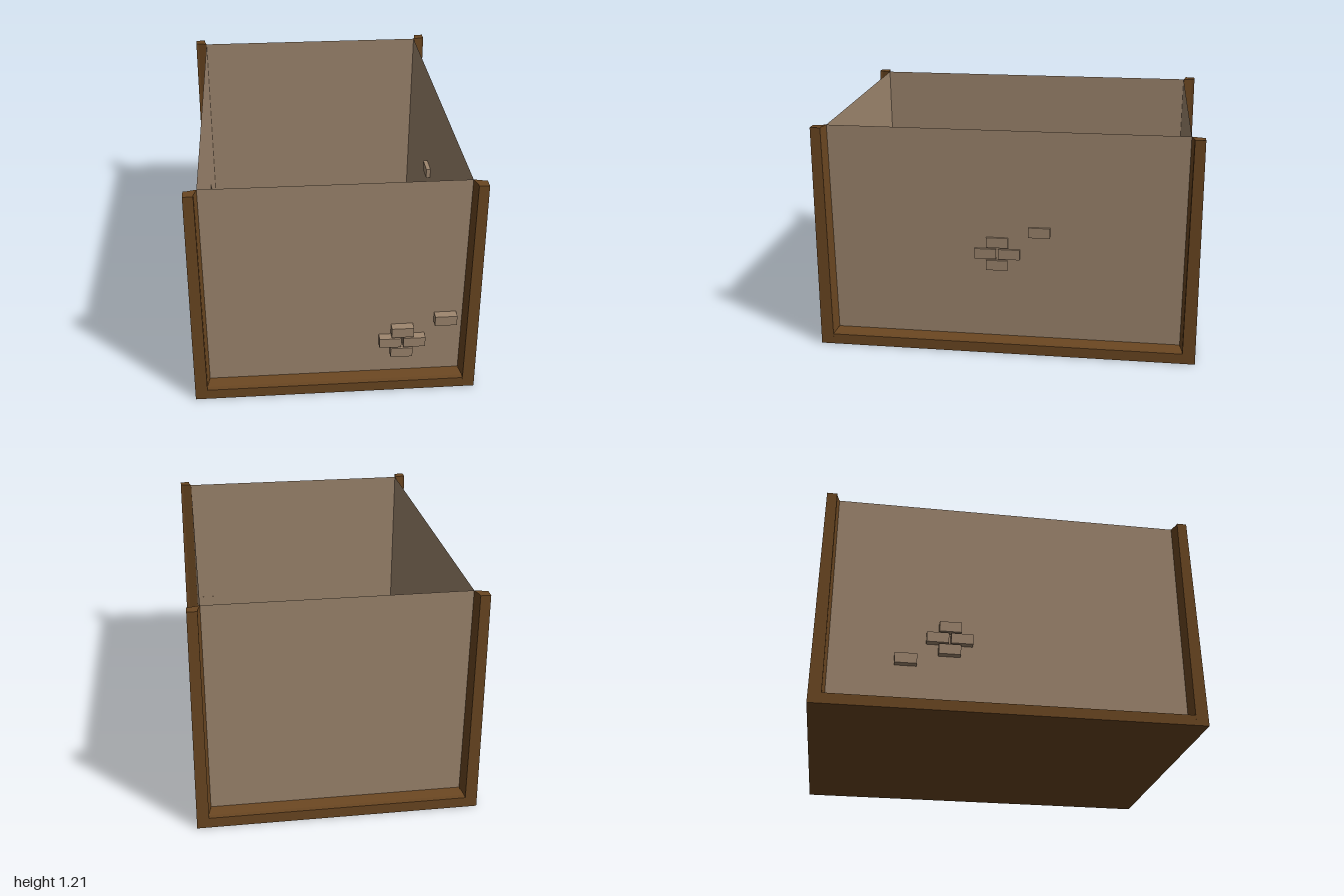
import * as THREE from 'three';

export function createModel() {
  const model = new THREE.Group();
  const wood = new THREE.MeshStandardMaterial({ color: 0x6a4621 });
  const plaster = new THREE.MeshStandardMaterial({ color: 0x9e866e });
  const floorWood = new THREE.MeshStandardMaterial({ color: 0x6a4621, side: THREE.DoubleSide });
  const wallPlaster = new THREE.MeshStandardMaterial({ color: 0x9e866e, side: THREE.DoubleSide });
  wood.name = 'wood';
  plaster.name = 'plaster';
  floorWood.name = 'floorWood';
  wallPlaster.name = 'wallPlaster';

  const H = 1.205; // overall height
  const WX = 0.654, WZ = 0.92; // wall planes
  const add = (name, geometry, material, parent = model) => {
    const mesh = new THREE.Mesh(geometry, material);
    mesh.name = name;
    parent.add(mesh);
    return mesh;
  };
  const outline = (pts) => new THREE.Shape(pts.map(([x, y]) => new THREE.Vector2(x, y)));

  // Floor plate
  const floor = new THREE.PlaneGeometry(1.46, 2);
  floor.rotateX(-Math.PI / 2);
  add('floor', floor, floorWood);

  // Corner posts: bevelled plan, outer faces leaning inwards towards the top
  const plan = [[WX, WZ], [0.667, 0.97], [0.667, 1], [0.73, 1], [0.73, 0.933], [0.705, 0.933]];
  for (const sx of [-1, 1]) {
    for (const sz of [-1, 1]) {
      const geo = new THREE.ExtrudeGeometry(
        outline(plan.map(([x, z]) => [x * sx, -z * sz])), { depth: H, bevelEnabled: false });
      geo.rotateX(-Math.PI / 2);
      const p = geo.attributes.position;
      for (let i = 0; i < p.count; i++) {
        const t = p.getY(i) / H;
        if (Math.abs(p.getX(i)) > 0.72) p.setX(i, p.getX(i) - sx * 0.012 * t);
        if (Math.abs(p.getZ(i)) > 0.99) p.setZ(i, p.getZ(i) - sz * 0.014 * t);
      }
      geo.computeVertexNormals();
      add('cornerPost', geo, wood);
    }
  }

  // Walls and bottom rails, one pair per side
  const sides = [
    { name: 'right', angle: 0, wall: WX, outer: 0.73, half: WZ },
    { name: 'front', angle: -Math.PI / 2, wall: WZ, outer: 1, half: WX },
    { name: 'left', angle: Math.PI, wall: WX, outer: 0.73, half: WZ },
    { name: 'back', angle: Math.PI / 2, wall: WZ, outer: 1, half: WX },
  ];
  for (const { name, angle, wall, outer, half } of sides) {
    const side = new THREE.Group();
    side.name = name + 'Side';
    side.rotation.y = angle;
    model.add(side);

    const panel = new THREE.PlaneGeometry(half * 2, H - 0.03);
    panel.rotateY(Math.PI / 2);
    panel.translate(wall, (H + 0.03) / 2, 0);
    add('wall', panel, wallPlaster, side);

    const len = half * 2 + 0.026;
    const rail = new THREE.ExtrudeGeometry(
      outline([[wall + 0.001, 0], [outer, 0], [outer - 0.001, 0.056],
        [outer - 0.027, 0.056], [wall + 0.001, 0.07]]),
      { depth: len, bevelEnabled: false });
    rail.translate(0, 0, -len / 2);
    add('bottomRail', rail, wood, side);
  }

  // Exposed bricks: a cluster of four and one stray, as [along, up] offsets
  const bricks = [[0, 0.063], [-0.062, 0], [0.062, 0], [-0.002, -0.063], [0.22, 0.127]];
  const brickPatch = (name, x, y, z, depth, angle, flip = 1) => {
    const patch = new THREE.Group();
    patch.name = name;
    patch.position.set(x, y, z);
    patch.rotation.y = angle;
    model.add(patch);
    for (const [u, v] of bricks) {
      add('brick', new THREE.BoxGeometry(0.113, 0.055, depth), plaster, patch)
        .position.set(u * flip, v * flip, 0);
    }
  };
  brickPatch('frontBricks', 0.345, 0.279, 0.942, 0.046, 0);
  brickPatch('rightBricks', 0.648, 0.54, 0.045, 0.036, Math.PI / 2);
  brickPatch('leftBricks', -0.67, 0.415, -0.315, 0.04, -Math.PI / 2, -1);

  return model;
}
